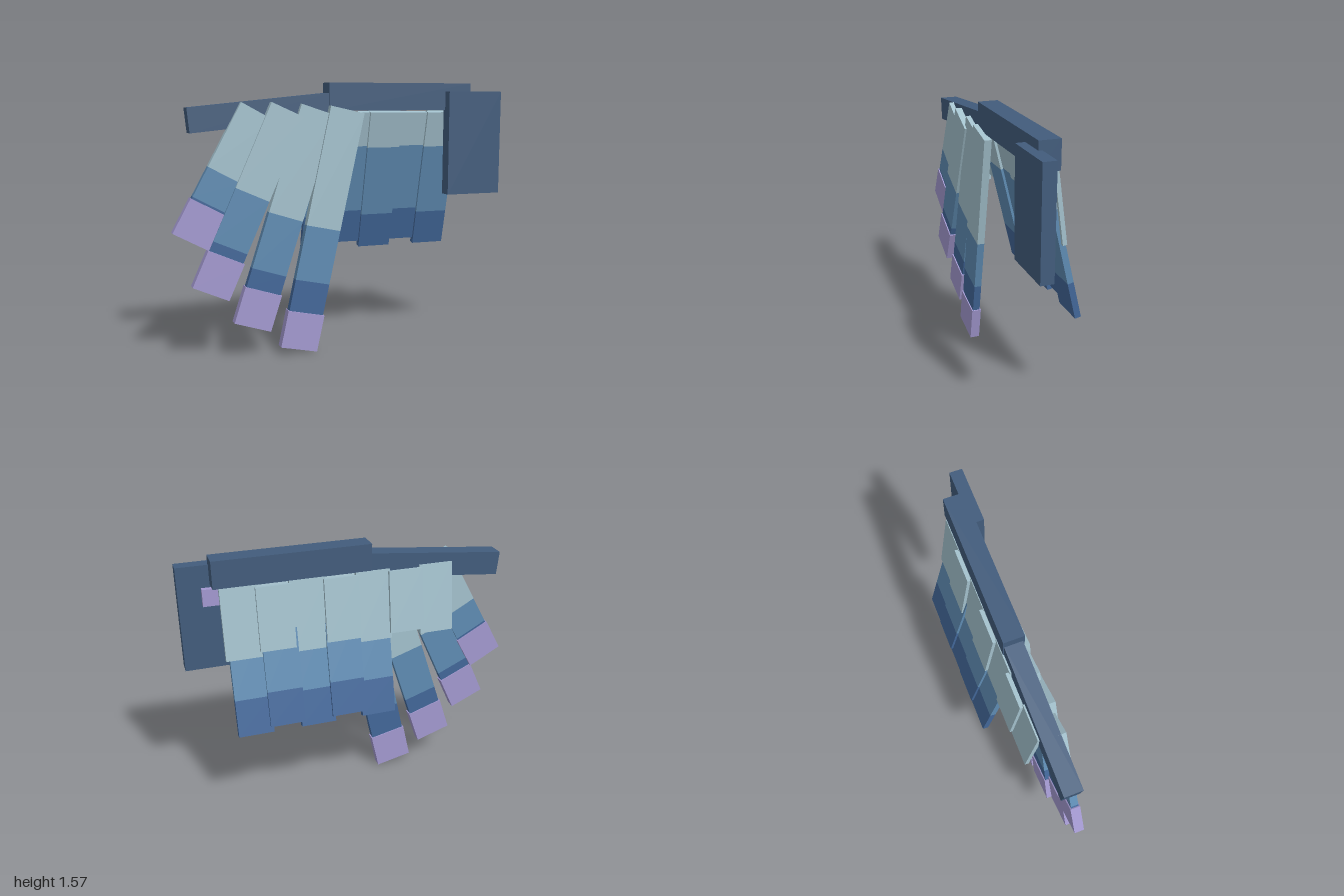
import * as THREE from 'three';

const mat = (name, color) => {
  const m = new THREE.MeshStandardMaterial({ color });
  m.name = name;
  return m;
};

export function createModel() {
  const navy = mat('navy', 0x425c7c);
  const pale = mat('paleBlue', 0xa3c1cd);
  const mid = mat('midBlue', 0x5f8cb3);
  const deep = mat('deepBlue', 0x426799);
  const violet = mat('violet', 0xa399d0);

  const wing = new THREE.Group();
  wing.name = 'wing';

  const box = (parent, name, material, size, pos) => {
    const mesh = new THREE.Mesh(new THREE.BoxGeometry(...size), material);
    mesh.name = name;
    mesh.position.set(...pos);
    parent.add(mesh);
    return mesh;
  };

  // A feather hangs down from its root; bands are [material, end distance]
  const feather = (name, width, thick, bands, pos, tiltX, tiltZ) => {
    const g = new THREE.Group();
    g.name = name;
    let start = 0;
    for (const [material, end] of bands) {
      const grow = material === violet ? 0.014 : 0;
      box(g, material.name + 'Band', material,
        [width + grow, end - start, thick + grow], [0, -(start + end) / 2, 0]);
      start = end;
    }
    g.position.set(...pos);
    g.rotation.set(tiltX, 0, tiltZ);
    wing.add(g);
  };

  // Shoulder and arm
  box(wing, 'shoulder', navy, [0.35, 0.62, 0.075], [0.825, 1.22, 0.137]);
  box(wing, 'innerArm', navy, [0.91, 0.16, 0.12], [0.365, 1.5, 0.06]);
  const outer = box(wing, 'outerArm', navy, [0.84, 0.14, 0.105], [-0.482, 1.412, 0.058]);
  outer.rotation.z = 0.1;
  box(wing, 'shoulderPeg', violet, [0.14, 0.1, 0.032], [0.8, 1.35, 0.085]);

  // Long flight feathers fanned out: top left corner, angle, band ends
  const primaries = [
    [-0.61, 1.47, 28.6, 0.4, 0.585, 0.597, 0.815],
    [-0.44, 1.47, 24.2, 0.518, 0.84, 0.897, 1.122],
    [-0.262, 1.46, 18, 0.641, 0.974, 1.087, 1.306],
    [-0.091, 1.449, 12.3, 0.7, 1.023, 1.21, 1.43],
  ];
  primaries.forEach(([x, y, deg, a, b, c, d], i) => {
    const t = THREE.MathUtils.degToRad(deg), w = 0.21;
    feather('primaryFeather', w, 0.044,
      [[pale, a], [mid, b], [deep, c], [violet, d]],
      [x + Math.cos(t) * w / 2, y - Math.sin(t) * w / 2, i % 2 ? 0.129 : 0.117], 0, -t);
  });

  // Inner flight feathers, alternating in depth and length
  for (let i = 0; i < 5; i++) {
    const odd = i % 2, len = odd ? 0.828 : 0.865;
    feather('secondaryFeather', 0.207, 0.035,
      [[pale, len * 0.25], [mid, len * 0.75], [deep, len]],
      [0.664 - i * 0.187, 1.41, odd ? 0.038 : 0.053], 0.234, 0);
  }

  // Short covering feathers on the back
  for (let i = 0; i < 7; i++) {
    const odd = i % 2;
    feather('covertFeather', 0.207, 0.024, [[pale, odd ? 0.37 : 0.415]],
      [0.685 - i * 0.195, odd ? 1.41 : 1.42, odd ? -0.012 : 0.008], 0.137, 0);
  }

  return wing;
}
